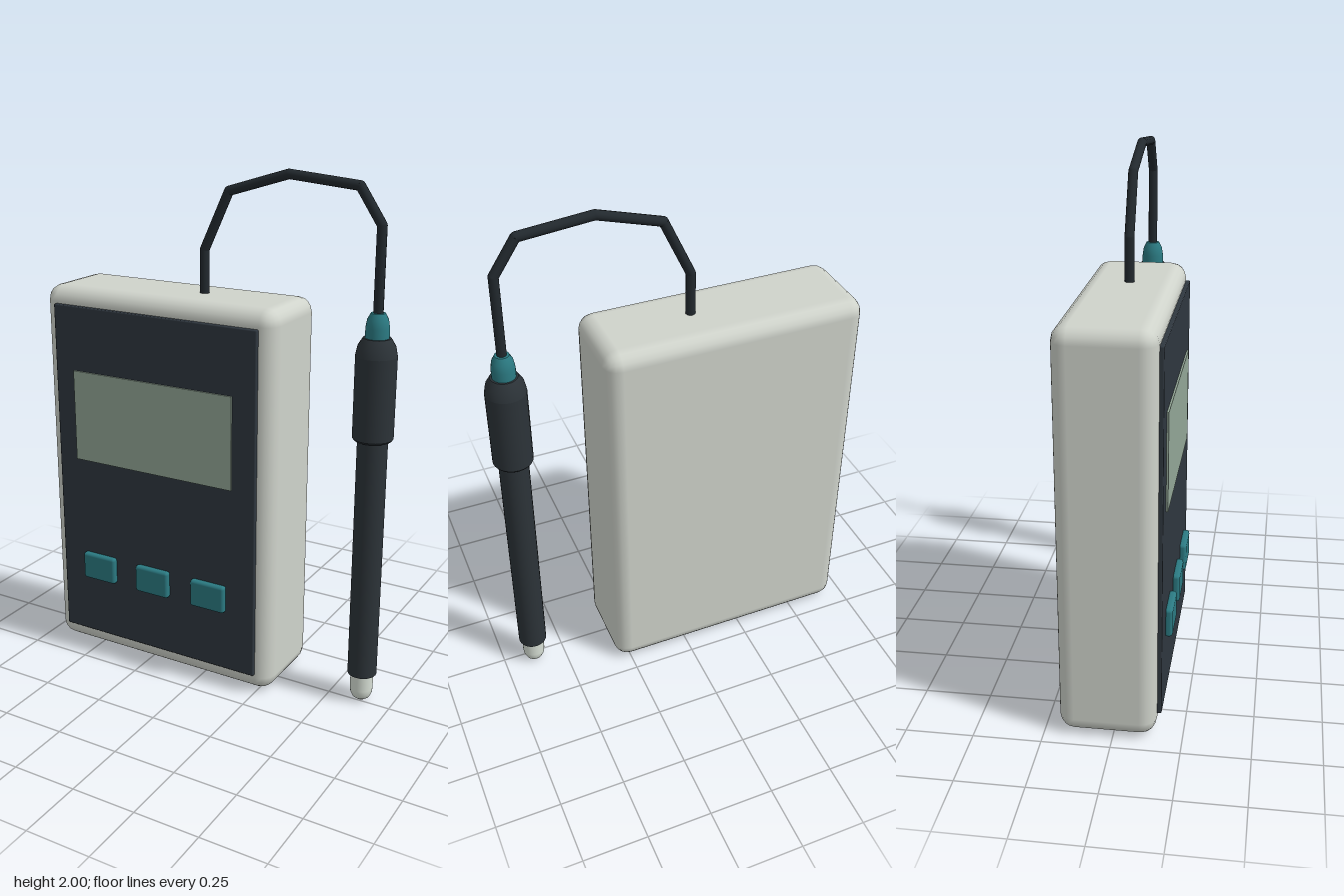
import * as THREE from 'three';
import { RoundedBoxGeometry } from 'three/addons/geometries/RoundedBoxGeometry.js';

const mat = (color) => new THREE.MeshStandardMaterial({ color });

export function createModel() {
  const root = new THREE.Group();
  const shell = mat(0xcfd3cb), panelDark = mat(0x2f373f), rubber = mat(0x2c3338);
  const cableDark = mat(0x22292e), teal = mat(0x2b7a82), lcd = mat(0x93a797), glass = mat(0xd8e0d6);

  const add = (name, geometry, material, x, y, z, parent = root) => {
    const mesh = new THREE.Mesh(geometry, material);
    mesh.name = name;
    mesh.position.set(x, y, z);
    parent.add(mesh);
    return mesh;
  };

  // Handheld meter: case, face panel, screen and three keys
  const meter = new THREE.Group();
  meter.name = 'meter';
  root.add(meter);
  add('case', new RoundedBoxGeometry(1.01, 1.52, 0.355, 2, 0.06), shell, -0.195, 0.767, -0.022, meter);
  add('facePanel', new RoundedBoxGeometry(0.89, 1.38, 0.02, 1, 0.005), panelDark, -0.195, 0.77, 0.161, meter);
  add('screen', new THREE.BoxGeometry(0.705, 0.365, 0.014), lcd, -0.2, 1.022, 0.171, meter);
  for (const [i, x] of [-0.453, -0.2, 0.055].entries()) {
    add('key' + (i + 1), new RoundedBoxGeometry(0.152, 0.112, 0.03, 2, 0.012), teal, x, 0.385, 0.181, meter);
  }

  // Probe: lathed parts on a common vertical axis
  const probe = new THREE.Group();
  probe.name = 'probe';
  probe.position.set(0.625, 0, -0.022);
  root.add(probe);
  // Each inner list is one smooth band; separate bands keep the edges sharp
  const turned = (name, bands, material) => {
    const part = new THREE.Group();
    part.name = name;
    for (const band of bands) {
      const points = band.map(([r, y]) => new THREE.Vector2(r, y));
      add(name + 'Surface', new THREE.LatheGeometry(points, 24), material, 0, 0, 0, part);
    }
    probe.add(part);
  };
  turned('glassTip', [[[0, 0], [0.02, 0.003], [0.034, 0.014], [0.042, 0.032], [0.044, 0.05], [0.044, 0.13]]], glass);
  turned('probeTube', [[[0, 0.115], [0.056, 0.115]], [[0.056, 0.115], [0.056, 1.1]]], rubber);
  turned('grip', [
    [[0.056, 1.065], [0.07, 1.065]],
    [[0.07, 1.065], [0.075, 1.072]],
    [[0.075, 1.072], [0.075, 1.375]],
    [[0.075, 1.375], [0.068, 1.41], [0.05, 1.44]],
    [[0.05, 1.44], [0, 1.44]],
  ], rubber);
  turned('strainRelief', [
    [[0.043, 1.43], [0.043, 1.475], [0.038, 1.505], [0.026, 1.528]],
    [[0.026, 1.528], [0, 1.53]],
  ], teal);

  // Cable: straight runs with rounded joints
  const cable = new THREE.Group();
  cable.name = 'cable';
  root.add(cable);
  const radius = 0.018;
  const path = [[-0.073, 1.5], [-0.073, 1.69], [0.03, 1.91], [0.27, 1.982], [0.54, 1.957], [0.625, 1.83], [0.625, 1.51]]
    .map(([x, y]) => new THREE.Vector3(x, y, -0.022));
  for (let i = 0; i < path.length - 1; i++) {
    const a = path[i], b = path[i + 1];
    const dir = b.clone().sub(a), mid = a.clone().add(b).multiplyScalar(0.5);
    const run = add('cableRun', new THREE.CylinderGeometry(radius, radius, dir.length(), 12), cableDark, mid.x, mid.y, mid.z, cable);
    run.quaternion.setFromUnitVectors(new THREE.Vector3(0, 1, 0), dir.normalize());
    if (i > 0) add('cableJoint', new THREE.SphereGeometry(radius, 12, 8), cableDark, a.x, a.y, a.z, cable);
  }

  return root;
}
